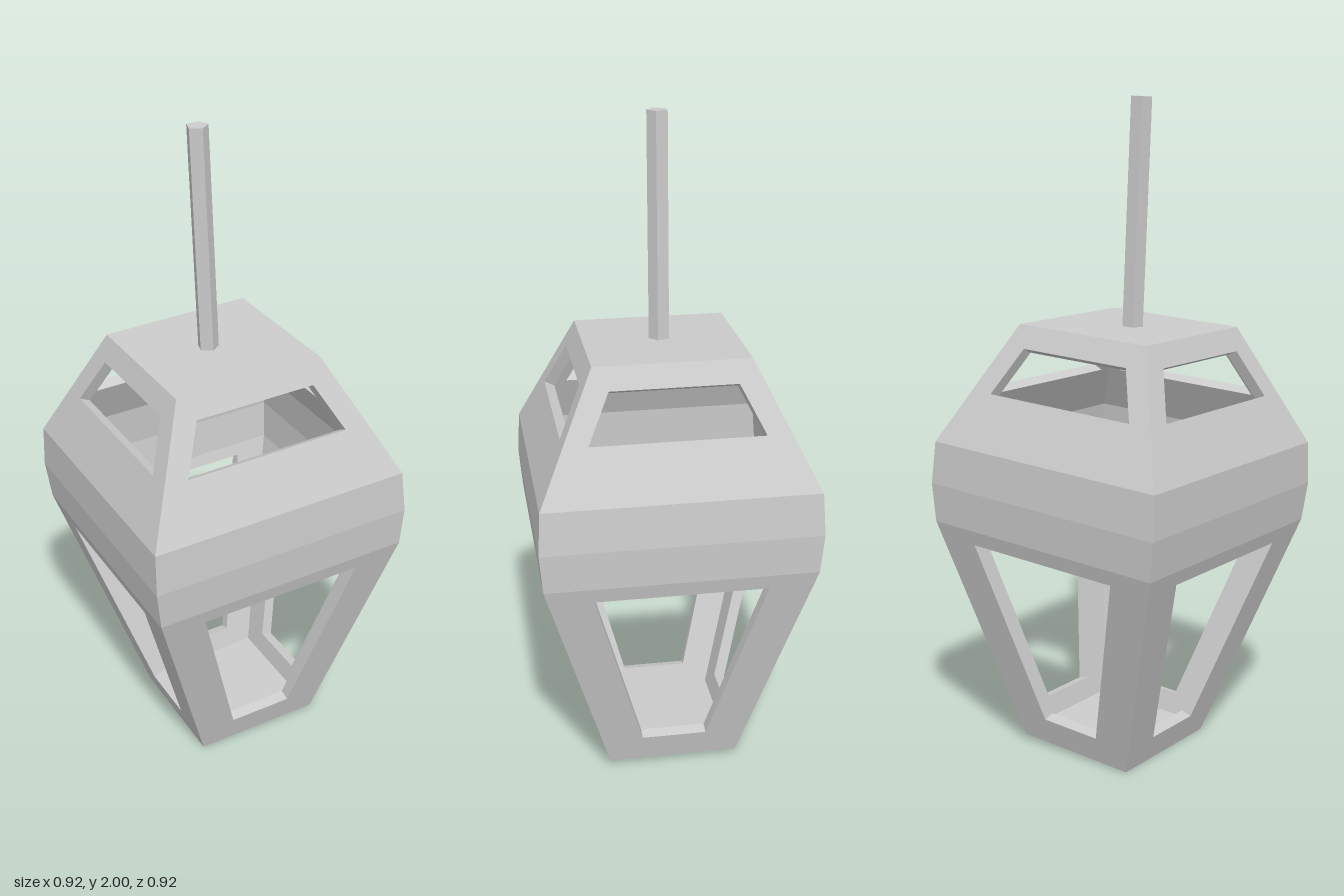
import * as THREE from 'three';

const WALL = 0.035;

// Square cross-sections of the lantern: [height, half width]
const OUTER = [[0, 0.2], [0.71, 0.403], [0.83, 0.413], [0.96, 0.406], [1.32, 0.232]];
const INNER = [[WALL, 0.174], [0.71, 0.367], [0.83, 0.378], [0.96, 0.367], [1.32 - WALL, 0.21]];

// Window openings by section index: bottom and top edges as [height, half width]
const WINDOWS = {
  0: [[0.088, 0.1], [0.663, 0.257]],
  3: [[1.118, 0.256], [1.255, 0.188]],
};
const SECTION_NAMES = ['lowerWindowFrame', 'lowerBand', 'upperBand', 'upperWindowFrame'];

const v = (x, y, z) => new THREE.Vector3(x, y, z);

// Flat-shaded geometry from a list of counter-clockwise quads
function quadGeometry(quads) {
  const points = quads.flatMap(([a, b, c, d]) => [a, b, c, a, c, d]);
  const geometry = new THREE.BufferGeometry().setFromPoints(points);
  geometry.computeVertexNormals();
  return geometry;
}

// Corners of a front-facing trapezoid: bottom left, bottom right, top right, top left
const trapezoid = ([y0, w0, z0 = w0], [y1, w1, z1 = w1]) =>
  [v(-w0, y0, z0), v(w0, y0, z0), v(w1, y1, z1), v(-w1, y1, z1)];

// Quads filling the strip between an outline and an opening
const frame = (outline, hole) => outline.map((p, i) => {
  const j = (i + 1) % 4;
  return [p, outline[j], hole[j], hole[i]];
});

const flip = (quads) => quads.map((q) => [...q].reverse());

// One wall section facing +z, with thickness and an optional window
function wallSection(i) {
  const outside = trapezoid(OUTER[i], OUTER[i + 1]);
  const inside = trapezoid(INNER[i], INNER[i + 1]);
  if (!WINDOWS[i]) return quadGeometry([outside, ...flip([inside])]);

  const [[y0, h0], [y1, h1]] = [OUTER[i], OUTER[i + 1]];
  const edges = WINDOWS[i].map(([y, w]) => [y, w, h0 + (h1 - h0) * (y - y0) / (y1 - y0)]);
  const normal = v(0, h0 - h1, y1 - y0).normalize();
  const hole = trapezoid(...edges);
  const innerHole = hole.map((p) => p.clone().addScaledVector(normal, -WALL));
  return quadGeometry([
    ...frame(outside, hole),
    ...frame(hole, innerHole), // window reveals
    ...flip(frame(inside, innerHole)),
  ]);
}

// Horizontal square facing up or down
function squareGeometry([y, h], up) {
  const quad = [v(-h, y, h), v(h, y, h), v(h, y, -h), v(-h, y, -h)];
  return quadGeometry(up ? [quad] : flip([quad]));
}

export function createModel() {
  const model = new THREE.Group();
  const lantern = new THREE.Group();
  lantern.name = 'lantern';
  model.add(lantern);
  const material = new THREE.MeshStandardMaterial({ color: 0xcccccc, flatShading: true });

  const add = (name, geometry, parent = lantern) => {
    const mesh = new THREE.Mesh(geometry, material);
    mesh.name = name;
    parent.add(mesh);
    return mesh;
  };

  // Four walls, each a stack of sections
  const sections = SECTION_NAMES.map((_, i) => wallSection(i));
  for (let side = 0; side < 4; side++) {
    const wall = new THREE.Group();
    wall.name = 'wall';
    wall.rotation.y = side * Math.PI / 2;
    sections.forEach((geometry, i) => add(SECTION_NAMES[i], geometry, wall));
    lantern.add(wall);
  }

  // Floor and roof, each with an outer and an inner face
  add('floorUnderside', squareGeometry(OUTER[0], false));
  add('floorTop', squareGeometry(INNER[0], true));
  add('roofTop', squareGeometry(OUTER[4], true));
  add('roofUnderside', squareGeometry(INNER[4], false));

  // Five-sided hanging rod
  const rod = add('hangingRod', new THREE.CylinderGeometry(0.032, 0.032, 0.68, 5));
  rod.position.set(-0.011, 1.65, 0);
  rod.rotation.y = 1.29;

  // The lantern hangs slightly turned and tilted
  lantern.rotation.set(0, 0.121, 0.047, 'YXZ');
  lantern.position.set(0.038, 0.01, -0.004);
  return model;
}
